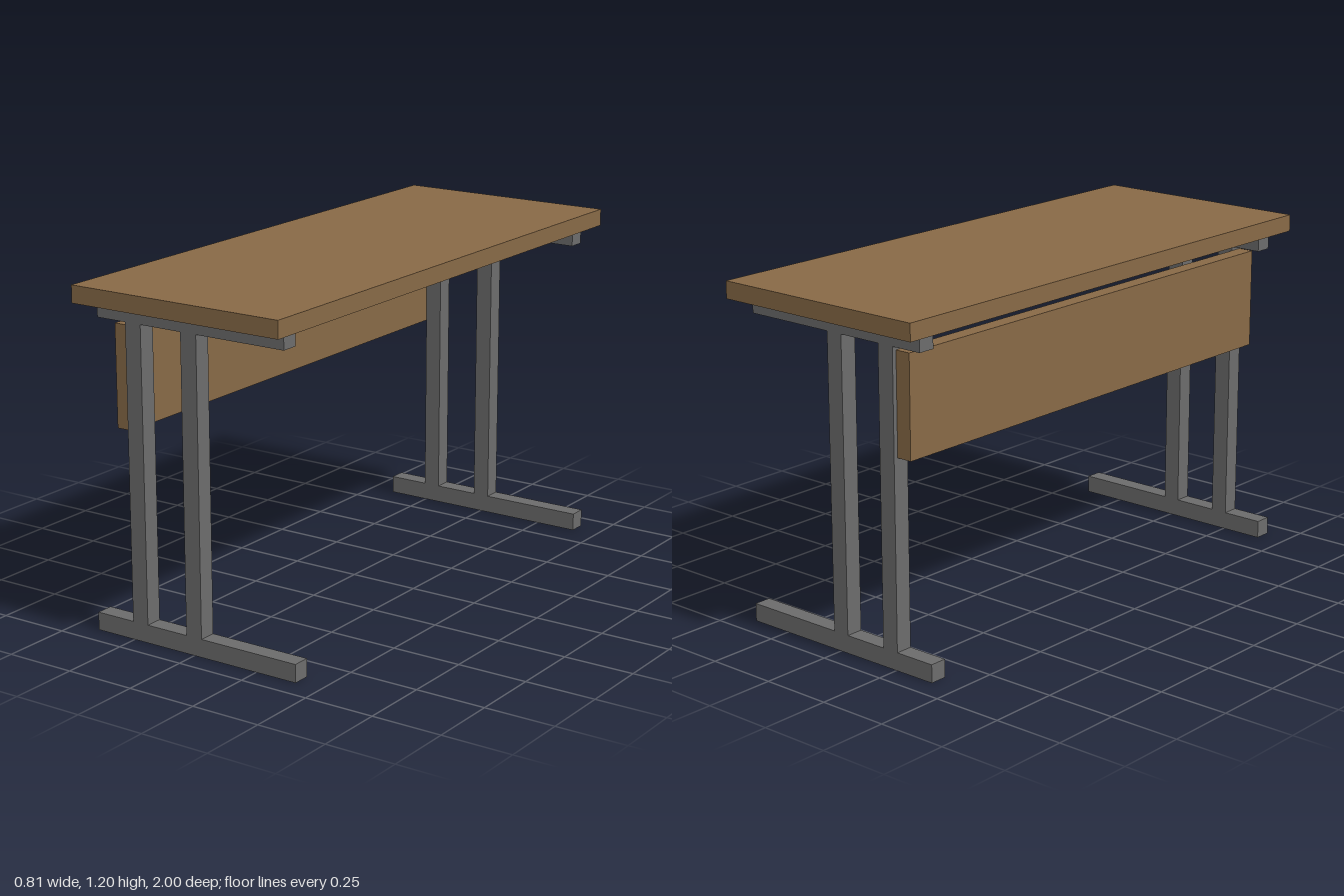
import * as THREE from 'three';

const wood = new THREE.MeshStandardMaterial({ color: 0x876946 });
wood.name = 'brownWood';
const steel = new THREE.MeshStandardMaterial({ color: 0x6b6b6b });
steel.name = 'greySteel';

// Box given by its minimum and maximum along each axis
function box(name, material, [x0, x1], [y0, y1], [z0, z1]) {
  const mesh = new THREE.Mesh(new THREE.BoxGeometry(x1 - x0, y1 - y0, z1 - z0), material);
  mesh.position.set((x0 + x1) / 2, (y0 + y1) / 2, (z0 + z1) / 2);
  mesh.name = name;
  return mesh;
}

// One end frame: foot bar, two uprights and the rail under the top
function endFrame(name, z) {
  const frame = new THREE.Group();
  frame.name = name;
  const depth = [-0.031, 0.031];
  frame.add(
    box('foot', steel, [-0.405, 0.405], [0, 0.063], depth),
    box('rearUpright', steel, [-0.255, -0.193], [0.063, 1.083], depth),
    box('middleUpright', steel, [-0.032, 0.03], [0.063, 1.083], depth),
    box('topRail', steel, [-0.37, 0.37], [1.083, 1.14], depth)
  );
  frame.position.z = z;
  return frame;
}

export function createModel() {
  const desk = new THREE.Group();
  desk.name = 'desk';
  desk.add(
    box('tabletop', wood, [-0.407, 0.407], [1.14, 1.2], [-1, 1]),
    // Privacy panel fixed to the outside of the rear uprights
    box('modestyPanel', wood, [-0.311, -0.255], [0.717, 1.069], [-0.905, 0.905]),
    endFrame('frontFrame', 0.89),
    endFrame('backFrame', -0.89)
  );
  return desk;
}
